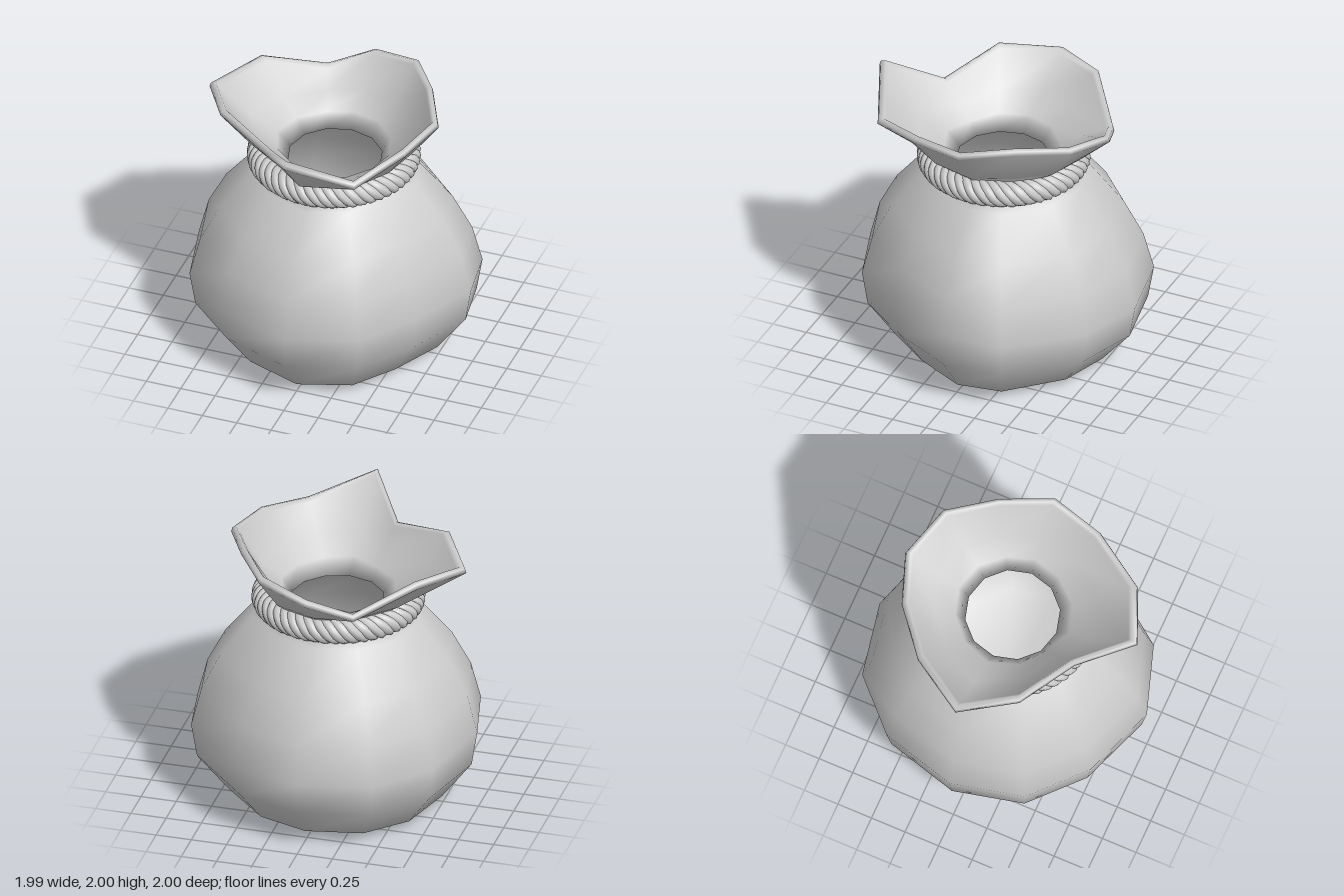
import * as THREE from 'three';

const SIDES = 12;

// Widest outline of the bag [x, z], starting at +x and turning toward +z
const BELLY = [
  [0.99, 0], [0.76, 0.46], [0.48, 0.84], [0, 1], [-0.52, 0.81], [-0.88, 0.48],
  [-1, -0.03], [-0.84, -0.57], [-0.5, -0.9], [0.02, -1], [0.48, -0.85], [0.92, -0.41],
];

// Flared mouth [x, y, z], same order
const RIM = [
  [0.75, 1.91, -0.01], [0.65, 1.89, 0.37], [0.42, 1.81, 0.75], [-0.02, 1.99, 0.94],
  [-0.27, 1.8, 0.58], [-0.7, 1.9, 0.36], [-0.92, 1.84, -0.02], [-0.69, 1.88, -0.4],
  [-0.31, 1.72, -0.69], [0, 1.84, -0.8], [0.36, 1.91, -0.68], [0.58, 1.94, -0.36],
];

// Body profile [scale of belly outline, y]
const BODY = [
  [0, 0.015], [0.58, 0.005], [0.75, 0.06], [0.96, 0.34], [1, 0.59], [0.93, 0.86], [0.8, 1.11], [0.58, 1.38],
];

const circle = (r, y, j) => {
  const a = (j / SIDES) * Math.PI * 2;
  return new THREE.Vector3(Math.cos(a) * r, y, Math.sin(a) * r);
};

const bodyPoint = ([s, y], j, inset = 0) => {
  const k = Math.max(0, s - inset);
  const [x, z] = BELLY[j];
  // the rear of the belly hangs a little lower
  const sag = 0.06 * Math.max(0, -z) * Math.sin(Math.min(1, y / 1.38) * Math.PI);
  return new THREE.Vector3(x * k, y - sag, z * k);
};

// Point between the neck circle and the rim, at blend t and height y
const flare = (neckR, t, y, j) => {
  const rim = new THREE.Vector3(...RIM[j]);
  const p = circle(neckR, y, j).lerp(rim, t);
  p.y = y + (rim.y - 1.86) * t * 0.3;
  return p;
};

const rimPoint = (scale, dy, j) => {
  const [x, y, z] = RIM[j];
  return new THREE.Vector3(x * scale, y + dy, z * scale);
};

// One skin: up the outside, over the lip and down the inside
function sackGeometry() {
  const rings = [
    ...BODY.map((p) => (j) => bodyPoint(p, j)),
    (j) => circle(0.39, 1.48, j),
    (j) => flare(0.39, 0.5, 1.625, j),
    (j) => rimPoint(1, -0.03, j),
    (j) => rimPoint(0.99, 0, j),
    (j) => rimPoint(0.95, 0.01, j),
    (j) => rimPoint(0.925, -0.015, j),
    (j) => flare(0.33, 0.48, 1.66, j),
    (j) => flare(0.33, 0.15, 1.57, j),
    (j) => circle(0.325, 1.47, j),
    ...BODY.slice(2).reverse().map((p) => (j) => bodyPoint([p[0], Math.max(p[1], 0.07)], j, 0.05)),
    (j) => bodyPoint([0, 0.05], j),
  ];
  const pos = [];
  const index = [];
  rings.forEach((ring, i) => {
    for (let j = 0; j < SIDES; j++) {
      pos.push(...ring(j).toArray());
      if (i === rings.length - 1) continue;
      const a = i * SIDES + j;
      const b = i * SIDES + ((j + 1) % SIDES);
      index.push(a, a + SIDES, b, b, a + SIDES, b + SIDES);
    }
  });
  const geo = new THREE.BufferGeometry();
  geo.setAttribute('position', new THREE.Float32BufferAttribute(pos, 3));
  geo.setIndex(index);
  geo.computeVertexNormals();
  return geo;
}

// A strand winding around the ring of rope
class StrandCurve extends THREE.Curve {
  constructor(phase, turns) {
    super();
    this.phase = phase;
    this.turns = turns;
  }
  getPoint(t, target = new THREE.Vector3()) {
    const a = t * Math.PI * 2;
    const w = this.phase - this.turns * a;
    const r = 0.502 + 0.055 * Math.cos(w);
    return target.set(Math.sin(a) * r, 0.055 * Math.sin(w), Math.cos(a) * r);
  }
}

export function createModel() {
  const model = new THREE.Group();
  model.name = 'tiedSack';
  const material = new THREE.MeshStandardMaterial({ color: 0xcccccc });

  const sack = new THREE.Mesh(sackGeometry(), material);
  sack.name = 'sack';
  model.add(sack);

  // Twisted rope around the neck
  const rope = new THREE.Group();
  rope.name = 'rope';
  rope.position.set(-0.008, 1.49, 0);
  const strands = 5;
  for (let i = 0; i < strands; i++) {
    const curve = new StrandCurve((i / strands) * Math.PI * 2, 10);
    const strand = new THREE.Mesh(new THREE.TubeGeometry(curve, 240, 0.038, 8, true), material);
    strand.name = 'ropeStrand';
    rope.add(strand);
  }
  model.add(rope);
  return model;
}
